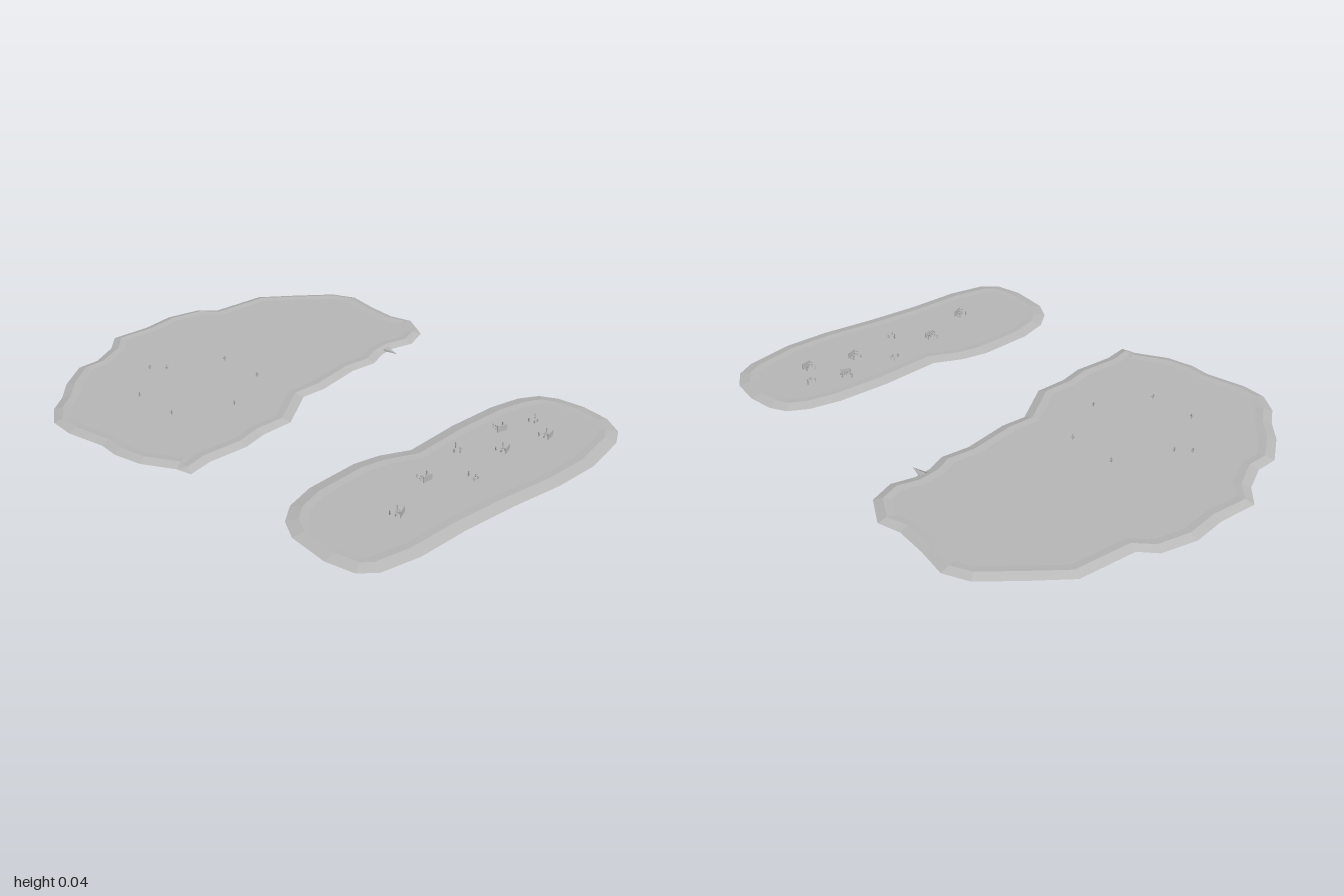
import * as THREE from 'three';

const stone = new THREE.MeshStandardMaterial({ color: 0xb8b8b8 });
stone.name = 'stoneGrey';

// Coastlines as x, z pairs, starting at the back and running towards +x
const MAIN = [
  -0.57, -0.81, -0.45, -0.79, -0.32, -0.78, -0.23, -0.805, -0.115, -0.74, -0.08, -0.64, -0.105, -0.55,
  -0.1, -0.48, -0.07, -0.4, -0.085, -0.29, -0.06, -0.1, -0.07, 0, 0.035, 0.17, 0.03, 0.3, 0.05, 0.4,
  0.035, 0.56, 0.05, 0.66, -0.01, 0.675, -0.13, 0.745, -0.24, 0.77, -0.32, 0.765, -0.48, 0.8, -0.58, 0.795,
  -0.665, 0.74, -0.72, 0.665, -0.8, 0.59, -0.88, 0.475, -0.88, 0.385, -0.93, 0.28, -1, 0.21, -0.985, 0.055,
  -1, -0.08, -0.965, -0.22, -0.905, -0.275, -0.88, -0.505, -0.78, -0.63, -0.665, -0.765,
];
const LONG = [
  0.735, -0.7, 0.85, -0.685, 0.93, -0.635, 0.97, -0.56, 1, -0.37, 0.99, -0.185, 0.955, 0.03, 0.93, 0.24,
  0.92, 0.455, 0.885, 0.605, 0.835, 0.66, 0.725, 0.685, 0.565, 0.67, 0.485, 0.625, 0.43, 0.55, 0.4, 0.43,
  0.4, 0.215, 0.425, 0.11, 0.48, 0, 0.475, -0.24, 0.49, -0.45, 0.52, -0.575, 0.565, -0.65, 0.63, -0.685,
];

// Pull a coastline inwards along its local normal
function inset(pts, d) {
  const n = pts.length;
  return pts.map((p, i) => {
    const t = pts[(i + 1) % n].clone().sub(pts[(i + n - 1) % n]).normalize();
    return new THREE.Vector2(p.x - t.y * d, p.y + t.x * d);
  });
}

// Low slab: rings of [inset, height] from the underside up over the rim, then capped
function island(name, flat, rings) {
  const pts = [];
  for (let i = 0; i < flat.length; i += 2) pts.push(new THREE.Vector2(flat[i], flat[i + 1]));
  const loops = rings.map(([d, y]) => inset(pts, d).map((p) => new THREE.Vector3(p.x, y, p.y)));
  const pos = [];
  const tri = (...v) => v.forEach((p) => pos.push(p.x, p.y, p.z));
  for (let r = 0; r + 1 < loops.length; r++) {
    pts.forEach((_, i) => {
      const j = (i + 1) % pts.length;
      const a = loops[r][i], b = loops[r][j], c = loops[r + 1][j], d = loops[r + 1][i];
      tri(b, a, d);
      tri(b, d, c);
    });
  }
  const cap = (loop, up) => {
    const faces = THREE.ShapeUtils.triangulateShape(loop.map((p) => new THREE.Vector2(p.x, p.z)), []);
    for (const [i, j, k] of faces) {
      const a = loop[i], b = loop[j], c = loop[k];
      const ny = (b.z - a.z) * (c.x - a.x) - (b.x - a.x) * (c.z - a.z);
      if (ny > 0 === up) tri(a, b, c);
      else tri(a, c, b);
    }
  };
  cap(loops[0], false);
  cap(loops[loops.length - 1], true);
  const g = new THREE.BufferGeometry();
  g.setAttribute('position', new THREE.Float32BufferAttribute(pos, 3));
  g.computeVertexNormals();
  const m = new THREE.Mesh(g, stone);
  m.name = name;
  return m;
}

function box(parent, name, w, h, d, x, y, z, turn = 0) {
  const m = new THREE.Mesh(new THREE.BoxGeometry(w, h, d), stone);
  m.name = name;
  m.position.set(x, y + h / 2, z);
  m.rotation.y = turn;
  parent.add(m);
}

// Little marker: post with two crossing arms
function marker(x, z) {
  const g = new THREE.Group();
  g.name = 'marker';
  g.position.set(x, 0.01, z);
  box(g, 'post', 0.003, 0.022, 0.003, 0, 0, 0);
  box(g, 'armAcross', 0.012, 0.003, 0.003, 0, 0.011, 0);
  box(g, 'armAlong', 0.003, 0.003, 0.016, 0, 0.011, 0);
  return g;
}

// Camp: optional upright panel, a row of slats and a few standing posts
function camp(x, z, turn, hasPanel) {
  const g = new THREE.Group();
  g.name = 'camp';
  g.position.set(x, 0.01, z);
  g.rotation.y = turn;
  if (hasPanel) {
    box(g, 'panel', 0.003, 0.026, 0.042, 0.016, 0, 0);
    for (let i = 0; i < 4; i++) box(g, 'slat', 0.014, 0.003, 0.003, 0.004, 0.005 + i * 0.005, -0.018 + i * 0.012);
  }
  for (let i = 0; i < 4; i++) {
    const a = i * 2.4;
    const px = Math.cos(a) * 0.016 - 0.01, pz = Math.sin(a) * 0.02;
    box(g, 'post', 0.004, 0.014 + (i % 3) * 0.005, 0.004, px, 0, pz, a);
    box(g, 'crossbar', 0.012, 0.003, 0.003, px, 0.009, pz, a);
  }
  return g;
}

export function createModel() {
  const model = new THREE.Group();
  model.name = 'twinIslands';

  // Slabs with a raised rim around a shallow plateau
  model.add(island('mainIsland', MAIN, [[0.025, 0], [0, 0.004], [0.035, 0.015], [0.065, 0.012]]));
  model.add(island('longIsland', LONG, [[0.025, 0], [0, 0.004], [0.045, 0.014], [0.075, 0.012]]));

  // Rocky spur on the main island's inner shore
  const spur = new THREE.Mesh(new THREE.ConeGeometry(0.02, 0.065, 5), stone);
  spur.name = 'spur';
  spur.scale.z = 0.3;
  spur.rotation.set(-Math.PI / 2, 0, -Math.PI / 2, 'YXZ');
  spur.position.set(-0.087, 0.007, -0.522);
  spur.rotation.set(0, 0, -Math.PI / 2);
  spur.scale.set(0.3, 1, 1);
  model.add(spur);

  // Markers scattered over the main island
  for (const [x, z] of [[-0.505, 0.023], [-0.31, 0.023], [-0.2, 0.24], [-0.61, 0.24], [-0.66, 0.285],
    [-0.505, 0.455], [-0.31, 0.455]]) model.add(marker(x, z));

  // Camps along the long island
  for (const [x, z, turn, panel] of [[0.68, -0.47, 0.4, 0], [0.77, -0.41, 0.2, 1], [0.62, -0.33, -0.3, 1],
    [0.72, -0.22, 0.3, 1], [0.61, -0.11, 0.9, 0], [0.76, -0.01, 1.6, 0], [0.645, 0.12, -0.1, 1],
    [0.72, 0.34, 0.4, 1]]) model.add(camp(x, z, turn, panel));

  return model;
}
